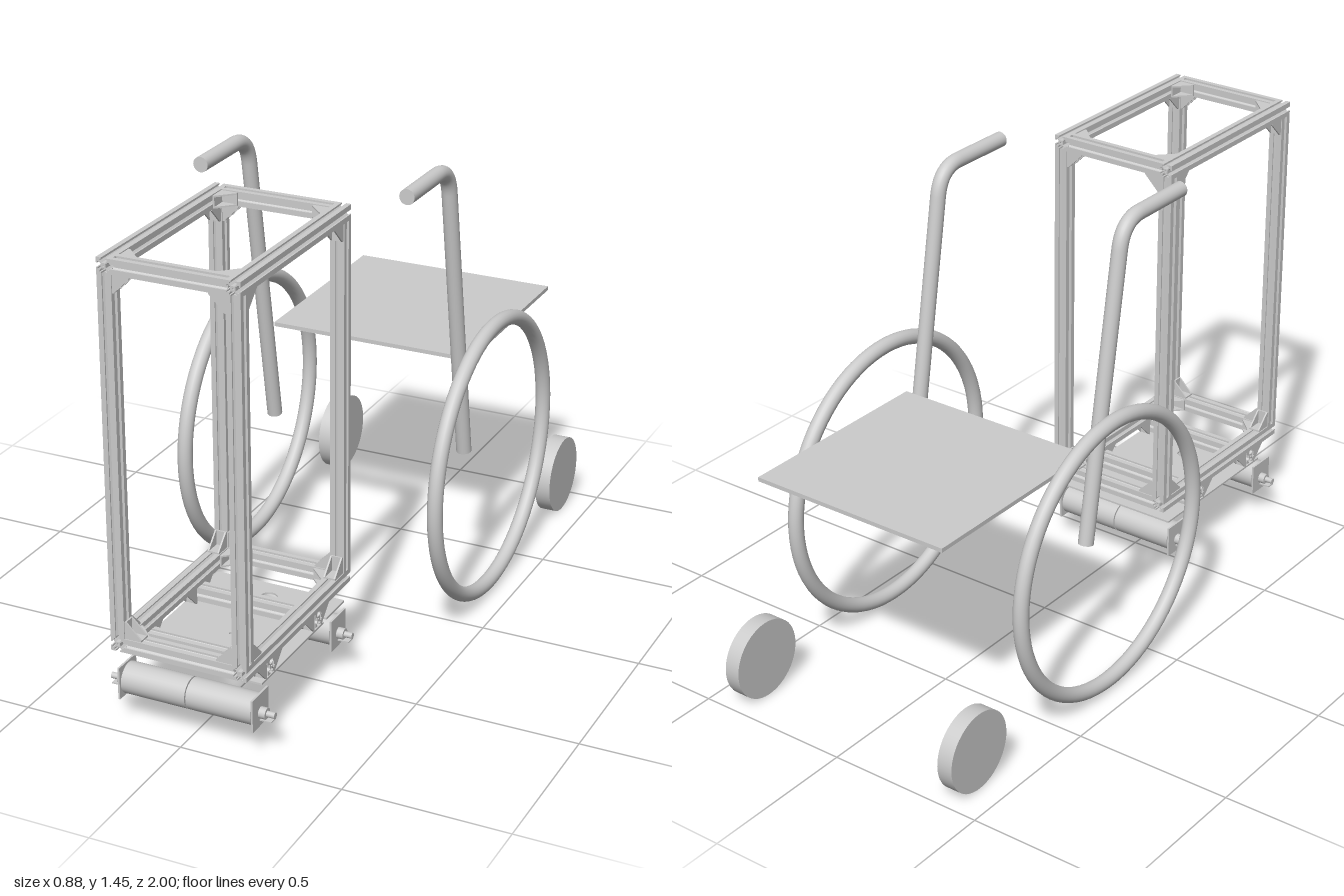
import * as THREE from 'three';
import { mergeGeometries } from 'three/addons/utils/BufferGeometryUtils.js';

const mat = new THREE.MeshStandardMaterial({ color: 0xcccccc });
const thin = new THREE.MeshStandardMaterial({ color: 0xcccccc, side: THREE.DoubleSide });
const V = (x, y, z) => new THREE.Vector3(x, y, z);
const W = 0.044, H = W / 2;                 // rail width
const FX = 0.213, Z0 = 0.34, Z1 = 1.0, Y0 = 0.26, Y1 = 1.432; // frame extents

function add(parent, name, geo, x = 0, y = 0, z = 0, material = mat) {
  const m = new THREE.Mesh(geo, material);
  m.name = name;
  m.position.set(x, y, z);
  parent.add(m);
  return m;
}

// Slotted aluminium rail profile: one side repeated four times
function railShape() {
  const side = [[1, -1], [1, -0.3], [0.8, -0.3], [0.8, -0.5], [0.6, -0.5], [0.35, -0.25],
    [0.35, 0.25], [0.6, 0.5], [0.8, 0.5], [0.8, 0.3], [1, 0.3]];
  const pts = [];
  for (let k = 0; k < 4; k++)
    for (const [x, y] of side)
      pts.push(new THREE.Vector2(x * H, y * H).rotateAround(new THREE.Vector2(), k * Math.PI / 2));
  const s = new THREE.Shape(pts);
  s.holes.push(new THREE.Path().absarc(0, 0, 0.15 * H, 0, Math.PI * 2, true));
  return s;
}

function rail(parent, name, axis, length, x, y, z) {
  const g = new THREE.ExtrudeGeometry(railShape(), { depth: length, bevelEnabled: false, curveSegments: 3 });
  g.translate(0, 0, -length / 2);
  if (axis === 'x') g.rotateY(Math.PI / 2);
  if (axis === 'y') g.rotateX(-Math.PI / 2);
  add(parent, name, g, x, y, z);
}

// Corner bracket: two flanges and two triangular cheeks, legs along +x and +y
function bracketGeometry() {
  const L = 0.052, w = 0.038, t = 0.005;
  const tri = new THREE.Shape([new THREE.Vector2(0, 0), new THREE.Vector2(L, 0),
    new THREE.Vector2(L, t), new THREE.Vector2(t, L), new THREE.Vector2(0, L)]);
  const parts = [new THREE.BoxGeometry(L, t, w).translate(L / 2, t / 2, 0),
    new THREE.BoxGeometry(t, L, w).translate(t / 2, L / 2, 0)];
  for (const z of [-w / 2, w / 2 - t])
    parts.push(new THREE.ExtrudeGeometry(tri, { depth: t, bevelEnabled: false }).translate(0, 0, z));
  return mergeGeometries(parts.map(p => p.toNonIndexed()));
}

function bracket(parent, geo, pos, a, b) {
  const m = add(parent, 'cornerBracket', geo);
  const c = a.clone().cross(b);
  m.quaternion.setFromRotationMatrix(new THREE.Matrix4().makeBasis(a, b, c));
  m.position.copy(pos);
}

// Flat horizontal plate with round holes, given as [x, z, radius]
function plate(parent, name, halfW, z0, z1, y, holes) {
  const s = new THREE.Shape([[-halfW, z0], [halfW, z0], [halfW, z1], [-halfW, z1]].map(p => new THREE.Vector2(...p)));
  for (const [x, z, r] of holes) s.holes.push(new THREE.Path().absarc(x, z, r, 0, Math.PI * 2, true));
  const g = new THREE.ExtrudeGeometry(s, { depth: 0.006, bevelEnabled: false, curveSegments: 16 });
  add(parent, name, g.rotateX(Math.PI / 2), 0, y, 0);
}

function createFrame() {
  const f = new THREE.Group();
  f.name = 'cabinetFrame';
  const px = FX - H, zMid = (Z0 + Z1) / 2;
  const ys = [Y0 + H, Y1 - H], zs = [Z0 + H, Z1 - H];
  const geo = bracketGeometry();
  for (const sx of [-1, 1]) {
    for (const y of ys) rail(f, 'sideRail', 'z', Z1 - Z0, sx * px, y, zMid);
    for (const z of zs) rail(f, 'cornerPost', 'y', Y1 - Y0 - 2 * W, sx * px, (Y0 + Y1) / 2, z);
  }
  for (const y of ys) for (const z of zs) rail(f, 'crossRail', 'x', 2 * (FX - W), 0, y, z);

  // Three brackets inside each corner, one per plane
  for (const sx of [-1, 1]) for (const sy of [0, 1]) for (const sz of [0, 1]) {
    const ix = sx * (FX - W), iy = sy ? Y1 - W : Y0 + W, iz = sz ? Z1 - W : Z0 + W;
    const dx = V(-sx, 0, 0), dy = V(0, sy ? -1 : 1, 0), dz = V(0, 0, sz ? -1 : 1);
    bracket(f, geo, V(ix, iy, zs[sz]), dx, dy);
    bracket(f, geo, V(sx * px, iy, iz), dy, dz);
    bracket(f, geo, V(ix, ys[sy], iz), dx, dz);
  }

  // Lower cross rails hung under the side rails
  for (const z of [0.552, 0.852]) {
    rail(f, 'lowerCrossRail', 'x', 2 * FX, 0, Y0 - H, z);
    for (const sx of [-1, 1]) for (const s of [-1, 1])
      bracket(f, geo, V(sx * px, Y0, z + s * H), V(0, 0, s), V(0, -1, 0));
  }
  plate(f, 'basePlate', 0.21, 0.515, 0.905, 0.208, [[0, 0.62, 0.025], [0, 0.785, 0.025], [0, 0.69, 0.006]]);
  plate(f, 'rearPlate', 0.21, 0.375, 0.495, 0.211, [[0, 0.45, 0.025]]);
  return f;
}

// Drive roller with square end plates and axle stubs
function createRoller(z) {
  const r = new THREE.Group();
  r.name = 'driveRoller';
  r.position.set(0, 0.135, z);
  const cyl = (rad, len) => new THREE.CylinderGeometry(rad, rad, len, 32).rotateZ(Math.PI / 2);
  for (const s of [-1, 1]) {
    add(r, 'rollerHalf', cyl(0.047, 0.203), s * 0.1035);
    add(r, 'endPlate', new THREE.BoxGeometry(0.006, 0.1, 0.096), s * 0.211);
    add(r, 'axleCollar', cyl(0.017, 0.022), s * 0.224, -0.008);
    add(r, 'axle', cyl(0.009, 0.03), s * 0.245, -0.008);
    add(r, 'axleTab', new THREE.BoxGeometry(0.036, 0.004, 0.028), s * 0.236, -0.025);
  }
  add(r, 'rollerCore', cyl(0.04, 0.41));
  return r;
}

// Small motor below the base plate, axis along z
function createMotor() {
  const g = new THREE.Group();
  g.name = 'motor';
  g.position.set(0, 0.143, 0);
  for (const [name, rad, z0, z1] of [['motorBody', 0.025, 0.53, 0.583], ['motorFlange', 0.04, 0.514, 0.53],
    ['motorShaft', 0.008, 0.485, 0.605]])
    add(g, name, new THREE.CylinderGeometry(rad, rad, z1 - z0, 24).rotateX(Math.PI / 2), 0, 0, (z0 + z1) / 2);
  return g;
}

// Bent handle tube with flat end caps
function createHandle(x) {
  const g = new THREE.Group();
  g.name = 'pushHandle';
  g.position.x = x;
  const a = V(0, 1.43, 0.217), b = V(0, 1.43, 0.01), c = V(0, 1.345, -0.087), d = V(0, 0.462, -0.238);
  const path = new THREE.CurvePath();
  path.add(new THREE.LineCurve3(a, b));
  path.add(new THREE.QuadraticBezierCurve3(b, V(0, 1.43, -0.073), c));
  path.add(new THREE.LineCurve3(c, d));
  add(g, 'handleTube', new THREE.TubeGeometry(path, 90, 0.0235, 24, false), 0, 0, 0, thin);
  for (const [p, q] of [[a, b], [d, c]]) {
    const cap = add(g, 'handleCap', new THREE.CircleGeometry(0.0235, 24), p.x, p.y, p.z, thin);
    cap.quaternion.setFromUnitVectors(V(0, 0, 1), p.clone().sub(q).normalize());
  }
  return g;
}

export function createModel() {
  const model = new THREE.Group();
  model.name = 'wheelchairWithCabinet';
  model.add(createFrame(), createRoller(0.922), createRoller(0.422), createMotor());
  add(model, 'seat', new THREE.BoxGeometry(0.662, 0.013, 0.66), 0, 0.761, -0.58);
  for (const s of [-1, 1]) {
    model.add(createHandle(s * 0.326));
    add(model, 'largeWheel', new THREE.TorusGeometry(0.432, 0.0235, 20, 80).rotateY(Math.PI / 2), s * 0.416, 0.46, -0.241);
    add(model, 'casterWheel', new THREE.CylinderGeometry(0.125, 0.125, 0.05, 48).rotateZ(Math.PI / 2), s * 0.396, 0.125, -0.875);
  }
  return model;
}
